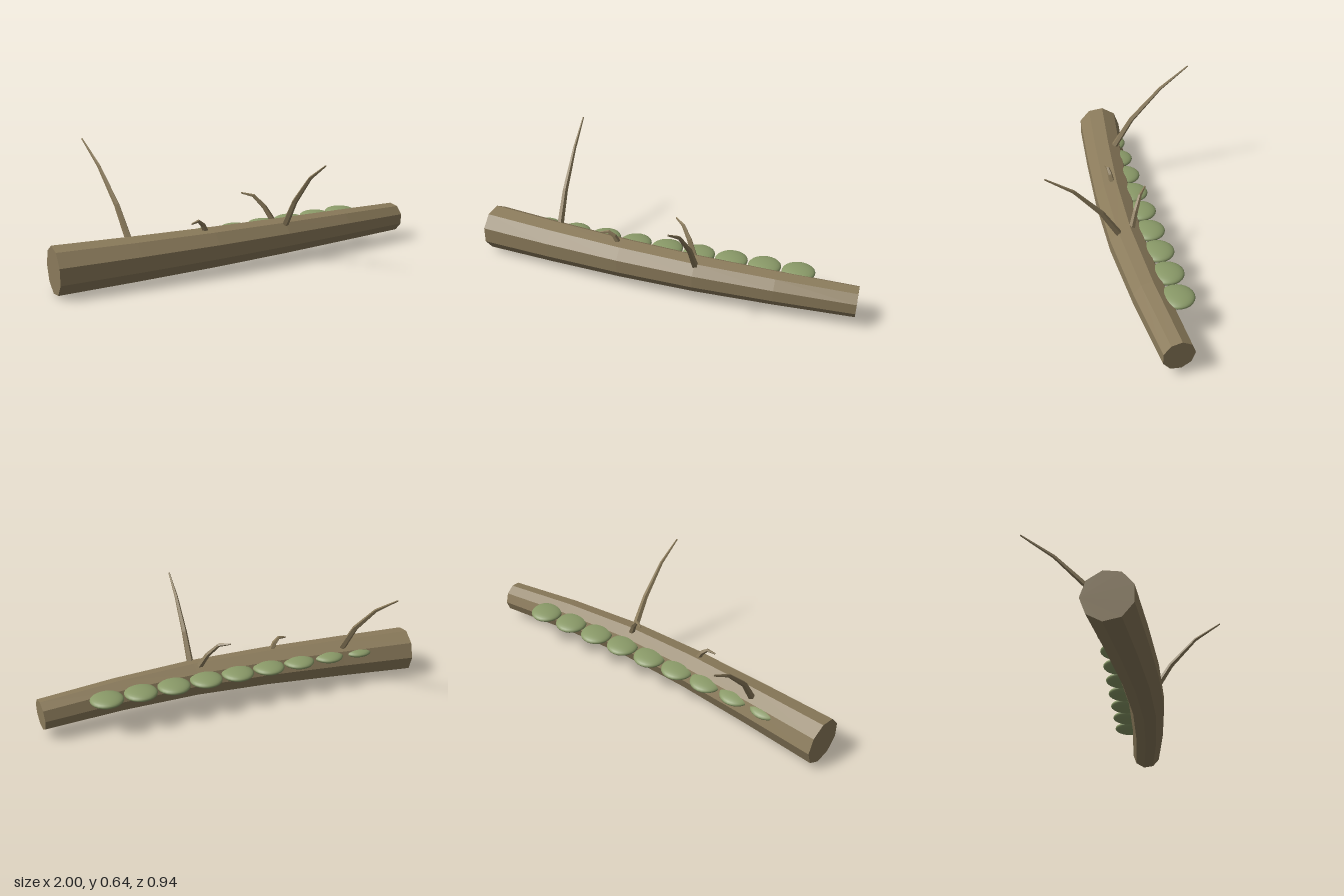
import * as THREE from 'three';

const V = (p) => new THREE.Vector3(...p);

// Faceted, tapering limb: each row is [x, y, z, radius]; closed at both ends
function limb(rows, sides, startAngle = 0) {
  const pts = rows.map((r) => V(r.slice(0, 3)));
  const pos = [], index = [], last = rows.length - 1;
  pts.forEach((p, i) => {
    const t = pts[Math.min(i + 1, last)].clone().sub(pts[Math.max(i - 1, 0)]).normalize();
    const u = t.clone().cross(V([0, 1, 0])).normalize();
    const v = u.clone().cross(t);
    for (let j = 0; j < sides; j++) {
      const a = startAngle + (j / sides) * Math.PI * 2;
      const q = p.clone().addScaledVector(u, Math.cos(a) * rows[i][3]).addScaledVector(v, Math.sin(a) * rows[i][3]);
      pos.push(q.x, q.y, q.z);
    }
  });
  for (let i = 0; i < last; i++) {
    for (let j = 0; j < sides; j++) {
      const a = i * sides + j, b = i * sides + ((j + 1) % sides);
      index.push(a, a + sides, b, b, a + sides, b + sides);
    }
  }
  // end caps
  const end = last * sides;
  for (let j = 1; j < sides - 1; j++) {
    index.push(0, j, j + 1, end, end + j + 1, end + j);
  }
  const g = new THREE.BufferGeometry();
  g.setAttribute('position', new THREE.Float32BufferAttribute(pos, 3));
  g.setIndex(index);
  const flat = g.toNonIndexed();
  flat.computeVertexNormals();
  return flat;
}

export function createModel() {
  const model = new THREE.Group();
  model.name = 'fallenLog';
  const bark = new THREE.MeshStandardMaterial({ color: 0x8b7b5b });
  bark.name = 'bark';
  const moss = new THREE.MeshStandardMaterial({ color: 0x8a9a68 });
  moss.name = 'moss green';

  const add = (name, geometry, material) => {
    const mesh = new THREE.Mesh(geometry, material);
    mesh.name = name;
    model.add(mesh);
    return mesh;
  };

  // Gently bowed trunk, nine sides with one edge to the back
  add('trunk', limb([
    [-0.985, 0.118, -0.034, 0.117],
    [-0.6, 0.122, 0.014, 0.109],
    [-0.2, 0.127, 0.056, 0.101],
    [0.2, 0.13, 0.078, 0.093],
    [0.6, 0.126, 0.07, 0.085],
    [0.995, 0.116, 0.044, 0.077],
  ], 9, Math.PI), bark);

  // Two long branches and two short twigs
  add('backBranch', limb([
    [-0.598, 0.19, -0.03, 0.018],
    [-0.608, 0.355, -0.14, 0.014],
    [-0.62, 0.522, -0.307, 0.009],
    [-0.633, 0.635, -0.467, 0.004],
  ], 5), bark);
  add('frontBranch', limb([
    [0.2, 0.19, 0.115, 0.018],
    [0.196, 0.335, 0.205, 0.014],
    [0.188, 0.478, 0.337, 0.009],
    [0.178, 0.562, 0.468, 0.004],
  ], 5), bark);
  add('hookedTwig', limb([
    [0.178, 0.2, 0.052, 0.016],
    [0.14, 0.28, 0.022, 0.013],
    [0.095, 0.338, -0.012, 0.009],
    [0.045, 0.352, -0.05, 0.004],
  ], 5), bark);
  add('smallTwig', limb([
    [-0.225, 0.2, 0.056, 0.016],
    [-0.25, 0.25, 0.063, 0.013],
    [-0.278, 0.274, 0.069, 0.009],
    [-0.32, 0.266, 0.075, 0.004],
  ], 5), bark);

  // Row of flattened moss pads along the back
  const pad = new THREE.SphereGeometry(1, 24, 16);
  for (let i = 0; i < 9; i++) {
    const mesh = add('mossPad' + (i + 1), pad, moss);
    mesh.scale.set(0.083, 0.025, 0.083);
    mesh.position.set(-0.685 + i * 0.1715, 0.172, -0.035);
  }
  return model;
}
